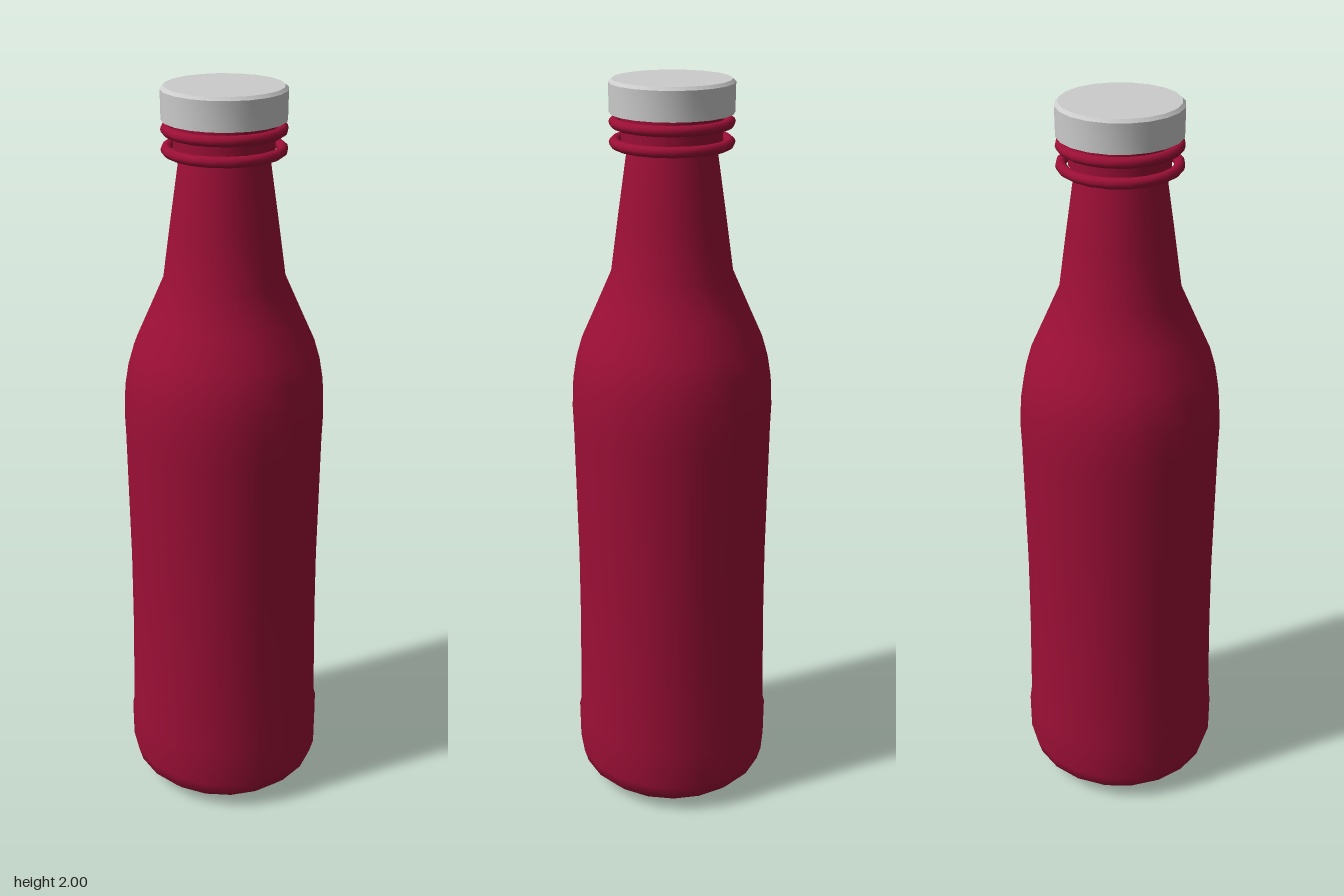
import * as THREE from 'three';
import { toCreasedNormals } from 'three/addons/utils/BufferGeometryUtils.js';

const SIDES = 20;
const glass = new THREE.MeshStandardMaterial({ color: 0x9c0f36 });
const metal = new THREE.MeshStandardMaterial({ color: 0xcccccc });

// Turn a profile of [radius, height] pairs, bottom to top, around the y axis
function turned(name, profile, material, crease) {
  const points = profile.map(([r, y]) => new THREE.Vector2(r, y));
  let geometry = new THREE.LatheGeometry(points, SIDES);
  if (crease) geometry = toCreasedNormals(geometry, crease);
  const mesh = new THREE.Mesh(geometry, material);
  mesh.name = name;
  return mesh;
}

export function createModel() {
  const bottle = new THREE.Group();
  bottle.name = 'bottle';

  // Body: rounded foot, slightly waisted label area, shoulder and tapering neck
  bottle.add(turned('body', [
    [0, 0], [0.13, 0.008], [0.2, 0.015], [0.235, 0.027], [0.26, 0.052], [0.271, 0.09],
    [0.272, 0.2], [0.267, 0.22], [0.262, 0.5], [0.261, 0.7], [0.266, 1.08],
    [0.268, 1.14], [0.264, 1.22], [0.254, 1.28], [0.238, 1.335], [0.2, 1.42],
    [0.158, 1.515], [0.138, 1.66], [0.112, 1.84],
  ], glass));

  // Finish: straight collar under the cap
  bottle.add(turned('neckFinish', [
    [0.11, 1.835], [0.127, 1.845], [0.129, 1.93], [0, 1.93],
  ], glass, 0.7));

  // Two rounded rings around the collar
  for (const y of [1.845, 1.895]) {
    const ring = new THREE.Mesh(new THREE.TorusGeometry(0.145, 0.0135, 10, SIDES), glass);
    ring.name = 'neckRing';
    ring.rotation.x = Math.PI / 2;
    ring.position.y = y;
    bottle.add(ring);
  }

  // Cap with a fine bevel on its top edge
  bottle.add(turned('cap', [
    [0, 1.918], [0.157, 1.918], [0.158, 1.992], [0.15, 2], [0, 2],
  ], metal, 0.6));

  return bottle;
}
